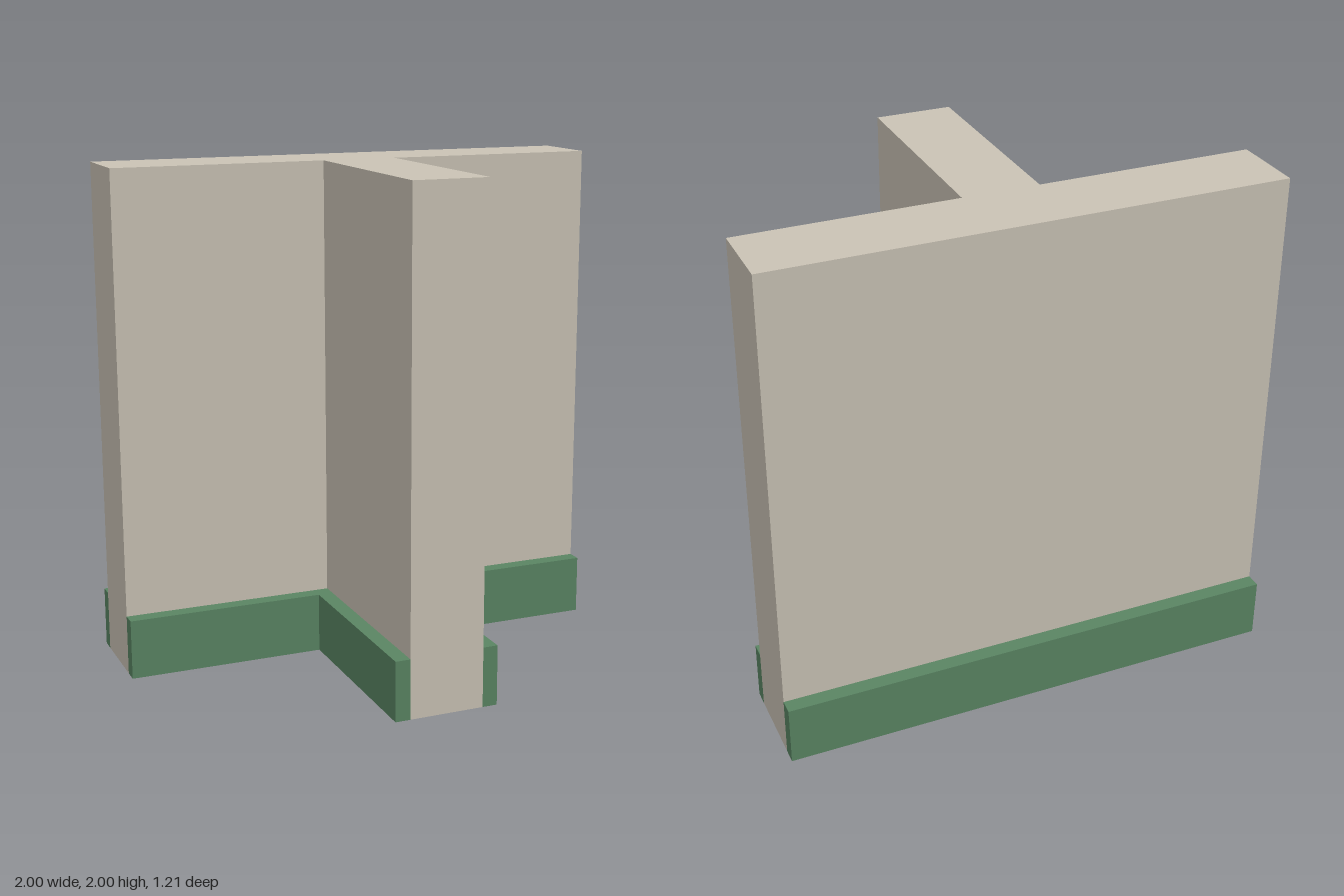
import * as THREE from 'three';

// Plan dimensions
const HALF = 1, STEM = 0.15, BACK = -0.545, FRONT = -0.245, END = 0.605;
const TRIM = 0.06, TRIM_HEIGHT = 0.24, HEIGHT = 2;

// Raises a floor-plan outline of [x, z] points to a given height
function raisePlan(name, points, height, material) {
  const shape = new THREE.Shape(points.map(([x, z]) => new THREE.Vector2(x, -z)));
  const geometry = new THREE.ExtrudeGeometry(shape, { depth: height, bevelEnabled: false });
  geometry.rotateX(-Math.PI / 2);
  const mesh = new THREE.Mesh(geometry, material);
  mesh.name = name;
  return mesh;
}

export function createModel() {
  const plaster = new THREE.MeshStandardMaterial({ color: 0xcac3b5 });
  plaster.name = 'warm plaster';
  const green = new THREE.MeshStandardMaterial({ color: 0x5a8563 });
  green.name = 'green skirting';

  const group = new THREE.Group();
  group.name = 'wallJunction';

  // T-shaped wall
  group.add(raisePlan('wall', [
    [-HALF, BACK], [HALF, BACK], [HALF, FRONT], [STEM, FRONT],
    [STEM, END], [-STEM, END], [-STEM, FRONT], [-HALF, FRONT],
  ], HEIGHT, plaster));

  // Straight skirting along the back
  group.add(raisePlan('backSkirting', [
    [-HALF, BACK - TRIM], [HALF, BACK - TRIM], [HALF, BACK], [-HALF, BACK],
  ], TRIM_HEIGHT, green));

  // Mirrored corner skirtings in the two front recesses
  for (const [name, s] of [['leftCornerSkirting', 1], ['rightCornerSkirting', -1]]) {
    group.add(raisePlan(name, [
      [s * STEM, FRONT], [s * HALF, FRONT], [s * HALF, FRONT + TRIM],
      [s * (STEM + TRIM), FRONT + TRIM], [s * (STEM + TRIM), END], [s * STEM, END],
    ], TRIM_HEIGHT, green));
  }

  return group;
}
